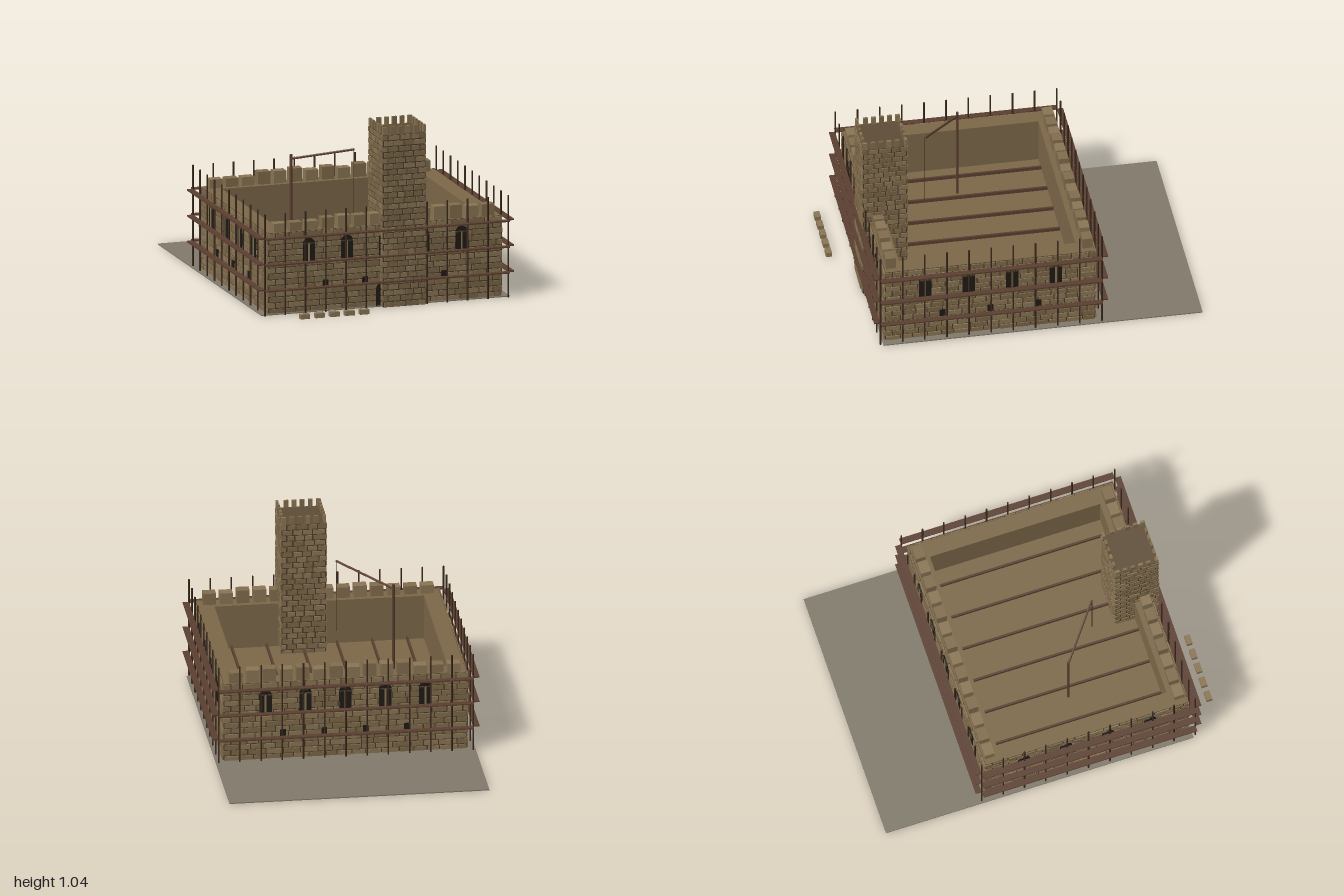
import * as THREE from 'three';
import { mergeGeometries } from 'three/addons/utils/BufferGeometryUtils.js';

const mat = (color) => new THREE.MeshStandardMaterial({ color, roughness: 0.9, flatShading: true });
const M = {
  stones: [mat(0x8b7655), mat(0x826d4d), mat(0x7b6747)],
  wall: mat(0x7d6849), mortar: mat(0x4c3d2a), tower: mat(0x5f4d37), ground: mat(0x817a6c),
  wood: mat(0x5c4030), pole: mat(0x3b2a1d), dark: mat(0x1f1a16), frame: mat(0x4a3d2d),
};
let seed = 7;
const rnd = () => (seed = (seed * 16807) % 2147483647) / 2147483647;

const CZ = 0.21, HX = 0.69, HZ = 0.6, H = 0.472; // wall centre, half sizes, height
const TX = 0.1025, TZ = 0.73, TH = 0.124; // tower centre and half width

function add(parent, name, geo, material, x = 0, y = 0, z = 0) {
  const m = new THREE.Mesh(geo, material);
  m.name = name;
  m.position.set(x, y, z);
  parent.add(m);
  return m;
}
const box = (p, name, material, w, h, d, x, y, z) =>
  add(p, name, new THREE.BoxGeometry(w, h, d), material, x, y, z);

// Beam of given radius between two points
function rod(parent, name, a, b, r, material, sides = 6) {
  const dir = b.clone().sub(a);
  const m = add(parent, name, new THREE.CylinderGeometry(r, r, dir.length(), sides), material);
  m.position.copy(a).add(b).multiplyScalar(0.5);
  m.quaternion.setFromUnitVectors(new THREE.Vector3(0, 1, 0), dir.normalize());
}

// Staggered courses of uneven stones covering one vertical face that looks along +z
function masonry(parent, half, height, rows, length, out) {
  const sets = [[], [], []], step = height / rows;
  for (let r = 0; r < rows; r++) {
    let x = -half - (r % 2 ? out : 0);
    const end = half + (r % 2 ? out : 0);
    let len = length * (r % 2 ? 0.55 : 1);
    while (x < end - 0.005) {
      if (end - x - len < length * 0.35) len = end - x;
      const depth = out * (0.8 + 0.4 * rnd());
      const g = new THREE.BoxGeometry(len - 0.007, step - 0.007, depth);
      g.translate(x + len / 2, (r + 0.5) * step, depth / 2);
      sets[Math.floor(rnd() * 3)].push(g);
      x += len;
      len = length * (0.75 + 0.5 * rnd());
    }
  }
  sets.forEach((s, i) => s.length && add(parent, 'stoneCourses', mergeGeometries(s), M.stones[i]));
}

// Upright panel with a round top, standing on y = 0
function arch(w, h, depth) {
  const s = new THREE.Shape(), r = w / 2;
  s.moveTo(-r, 0);
  s.lineTo(r, 0);
  s.lineTo(r, h - r);
  s.absarc(0, h - r, r, 0, Math.PI);
  s.lineTo(-r, 0);
  return new THREE.ExtrudeGeometry(s, { depth, bevelEnabled: false, curveSegments: 8 });
}

function windowUnit(parent, x) {
  const g = new THREE.Group();
  g.name = 'archedWindow';
  g.position.set(x, 0.285, 0);
  add(g, 'windowOpening', arch(0.07, 0.147, 0.014), M.dark);
  box(g, 'mullion', M.stones[0], 0.01, 0.115, 0.006, 0, 0.0575, 0.015);
  box(g, 'transom', M.frame, 0.066, 0.007, 0.005, 0, 0.115, 0.015);
  parent.add(g);
}

// One face of a square block, turned so that local +z looks outward
function side(parent, name, x, z, turn, dist) {
  const pivot = new THREE.Group(), face = new THREE.Group();
  pivot.position.set(x, 0, z);
  pivot.rotation.y = turn * Math.PI / 2;
  face.position.z = dist;
  face.name = name;
  pivot.add(face);
  parent.add(pivot);
  return face;
}

function buildWalls(root) {
  const walls = new THREE.Group();
  walls.name = 'curtainWalls';
  root.add(walls);
  const t = 0.094;
  for (const s of [-1, 1]) {
    box(walls, 'longWall', M.wall, 2 * HX, H, t, 0, H / 2, CZ + s * (HZ - t / 2));
    box(walls, 'sideWall', M.wall, t, H, 2 * (HZ - t), s * (HX - t / 2), H / 2, CZ);
  }
  ['frontFace', 'leftFace', 'backFace', 'rightFace'].forEach((name, i) => {
    const long = i % 2 === 0, half = long ? HX : HZ;
    const face = side(walls, name, 0, CZ, i, long ? HZ : HX);
    box(face, 'mortar', M.mortar, 2 * half, H - 0.004, 0.002, 0, H / 2, 0.001);
    masonry(face, half, H, 14, 0.085, 0.009);
    const windows = long ? [-0.455, -0.2275, 0, 0.2275, 0.455] : [-0.375, -0.125, 0.125, 0.375];
    windows.forEach((x) => windowUnit(face, x));
    const holes = long ? [-0.355, -0.12, 0.115, 0.35] : [-0.275, 0, 0.275];
    holes.forEach((x) => box(face, 'putlogHole', M.dark, 0.032, 0.042, 0.013, x, 0.16, 0.0065));
    if (i === 0) add(face, 'doorway', arch(0.11, 0.15, 0.015), M.dark);
  });

  // Uneven merlons on the front and back walls
  for (const z of [0.773, -0.355])
    for (let i = 0; i < 14; i++) {
      const h = z > 0 && i < 3 || z < 0 && i < 3 ? 0.05 : 0.06 + 0.02 * rnd();
      box(walls, 'merlon', M.stones[i % 2], 0.073, h, 0.058, -0.62 + i * 0.0954, H + h / 2, z);
    }

  // Inner floor and its joists
  box(walls, 'floor', M.wall, 1.2, 0.016, 1.02, 0, 0.202, CZ);
  for (let i = 0; i < 6; i++) box(walls, 'floorJoist', M.wood, 0.012, 0.02, 1.01, -0.5 + i * 0.2, 0.22, CZ);
}

function buildTower(root) {
  const tower = new THREE.Group();
  tower.name = 'tower';
  root.add(tower);
  box(tower, 'towerCore', M.tower, 2 * TH, 1, 2 * TH, TX, 0.5, TZ);
  for (let i = 0; i < 4; i++) {
    const face = side(tower, 'towerFace', TX, TZ, i, TH);
    box(face, 'towerMortar', M.mortar, 2 * TH, 0.996, 0.002, 0, 0.5, 0.001);
    masonry(face, TH, 1, 30, 0.06, 0.007);
    // Small teeth along the parapet; each side leaves one corner to the next
    for (let k = 0; k < 5; k++)
      box(face, 'towerMerlon', M.stones[k % 3], 0.026, 0.045, 0.014, -0.115 + k * 0.046, 1.0225, -0.004);
  }
}

function buildScaffold(root) {
  const sc = new THREE.Group();
  sc.name = 'scaffold';
  root.add(sc);
  const px = 0.725, z0 = -0.425, z1 = 0.845;
  const pole = new THREE.CylinderGeometry(0.005, 0.005, 0.592, 6);
  for (let i = 0; i <= 12; i++)
    for (const z of [z0, z1]) add(sc, 'scaffoldPole', pole, M.pole, -px + (i * px) / 6, 0.296, z);
  for (let i = 1; i < 10; i++)
    for (const x of [-px, px]) add(sc, 'scaffoldPole', pole, M.pole, x, 0.296, z0 + i * 0.127);
  for (const y of [0.15, 0.3, 0.45])
    for (const s of [-1, 1]) {
      box(sc, 'longPlank', M.wood, 1.45, 0.008, 0.034, 0, y, CZ + s * 0.654);
      box(sc, 'sidePlank', M.wood, 0.036, 0.008, 1.27, s * 0.743, y, CZ);
    }
}

function buildCrane(root) {
  const crane = new THREE.Group();
  crane.name = 'crane';
  root.add(crane);
  const v = (x, y, z) => new THREE.Vector3(x, y, z);
  rod(crane, 'craneMast', v(-0.355, 0, 0.212), v(-0.355, 0.77, 0.212), 0.008, M.wood, 8);
  rod(crane, 'craneJib', v(-0.36, 0.743, 0.208), v(-0.06, 0.83, 0.45), 0.007, M.wood);
  rod(crane, 'craneRope', v(-0.062, 0.83, 0.45), v(-0.062, 0.4, 0.45), 0.002, M.pole);
}

export function createModel() {
  const root = new THREE.Group();
  root.name = 'castle';
  box(root, 'ground', M.ground, 1.48, 0.006, 1.83, 0, 0.003, -0.085);
  buildWalls(root);
  buildTower(root);
  buildScaffold(root);
  buildCrane(root);
  // Row of cut stones waiting in front
  for (let i = 0; i < 5; i++)
    box(root, 'looseStone', M.stones[0], 0.056, 0.027, 0.034, -0.535 + i * 0.0885, 0.0185, 0.983);
  return root;
}
